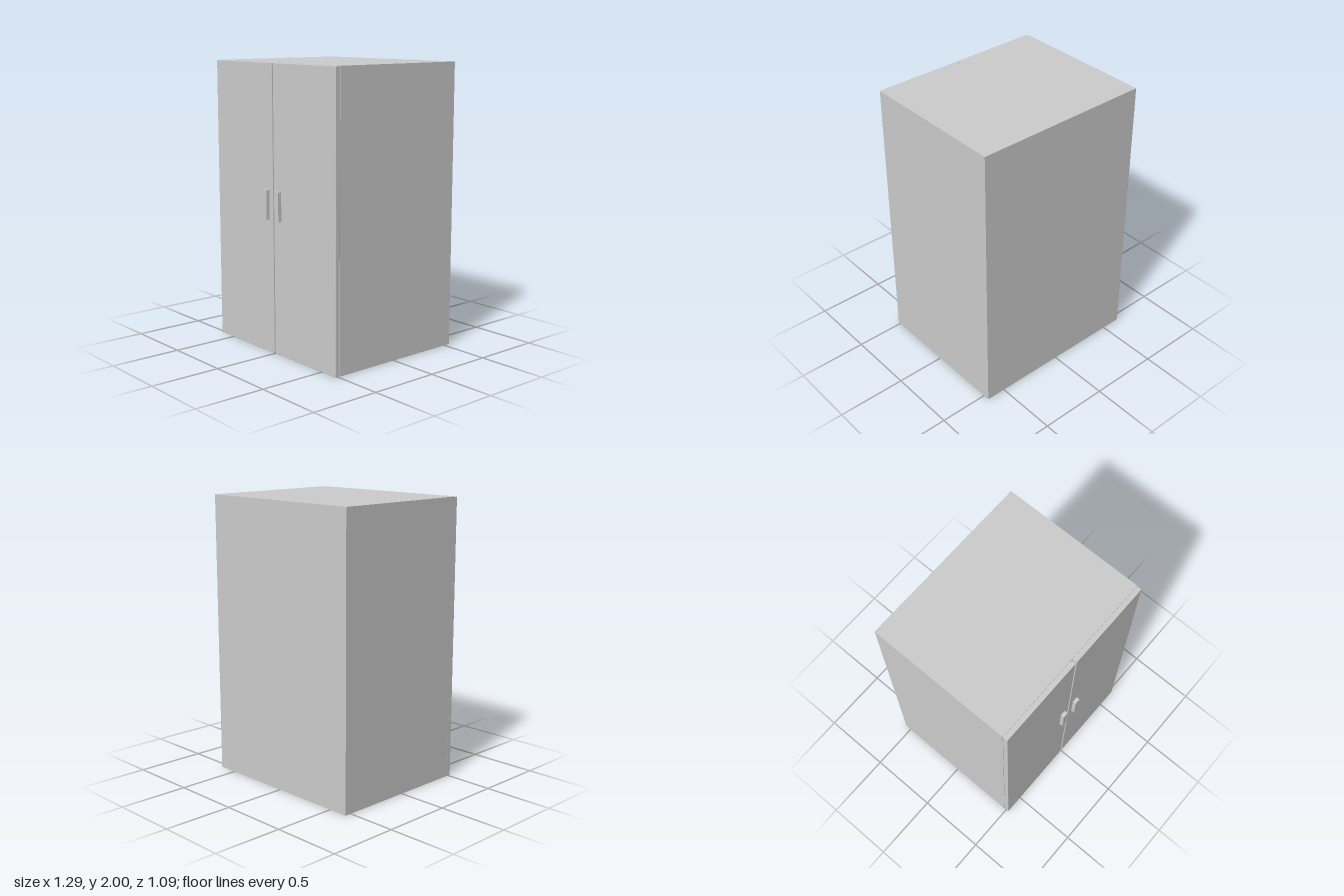
import * as THREE from 'three';
import { RoundedBoxGeometry } from 'three/addons/geometries/RoundedBoxGeometry.js';

const material = new THREE.MeshStandardMaterial({ color: 0xcccccc });

// Adds a mesh filling the space between two opposite corners
function addBox(parent, name, [x0, y0, z0], [x1, y1, z1], radius = 0) {
  const size = [x1 - x0, y1 - y0, z1 - z0];
  const geometry = radius
    ? new RoundedBoxGeometry(...size, 2, radius)
    : new THREE.BoxGeometry(...size);
  const mesh = new THREE.Mesh(geometry, material);
  mesh.name = name;
  mesh.position.set((x0 + x1) / 2, (y0 + y1) / 2, (z0 + z1) / 2);
  parent.add(mesh);
}

export function createModel() {
  const model = new THREE.Group();
  model.name = 'cabinet';
  const W = 0.643, H = 2, back = -0.547, front = 0.485, t = 0.04;

  // Carcass: hollow box of panels, open behind the doors
  const carcass = new THREE.Group();
  carcass.name = 'carcass';
  model.add(carcass);
  addBox(carcass, 'bottomPanel', [-W, 0, back], [W, t, front]);
  addBox(carcass, 'topPanel', [-W, H - t, back], [W, H, front]);
  addBox(carcass, 'backPanel', [-W + t, t, back], [W - t, H - t, back + t]);
  addBox(carcass, 'rightPanel', [-W, t, back], [-W + t, H - t, front]);
  addBox(carcass, 'leftPanel', [W - t, t, back], [W, H - t, front]);

  // Mirrored pair of doors, each with a bar handle near the centre gap
  for (const [side, s] of [['left', 1], ['right', -1]]) {
    const span = (a, b) => (s > 0 ? [a, b] : [-b, -a]);
    const [d0, d1] = span(0.005, W - 0.001);
    addBox(model, side + 'Door', [d0, 0.001, front], [d1, H - 0.001, 0.521], 0.003);
    const [h0, h1] = span(0.044, 0.085);
    addBox(model, side + 'Handle', [h0, 0.942, 0.52], [h1, 1.146, 0.547]);
  }
  return model;
}
